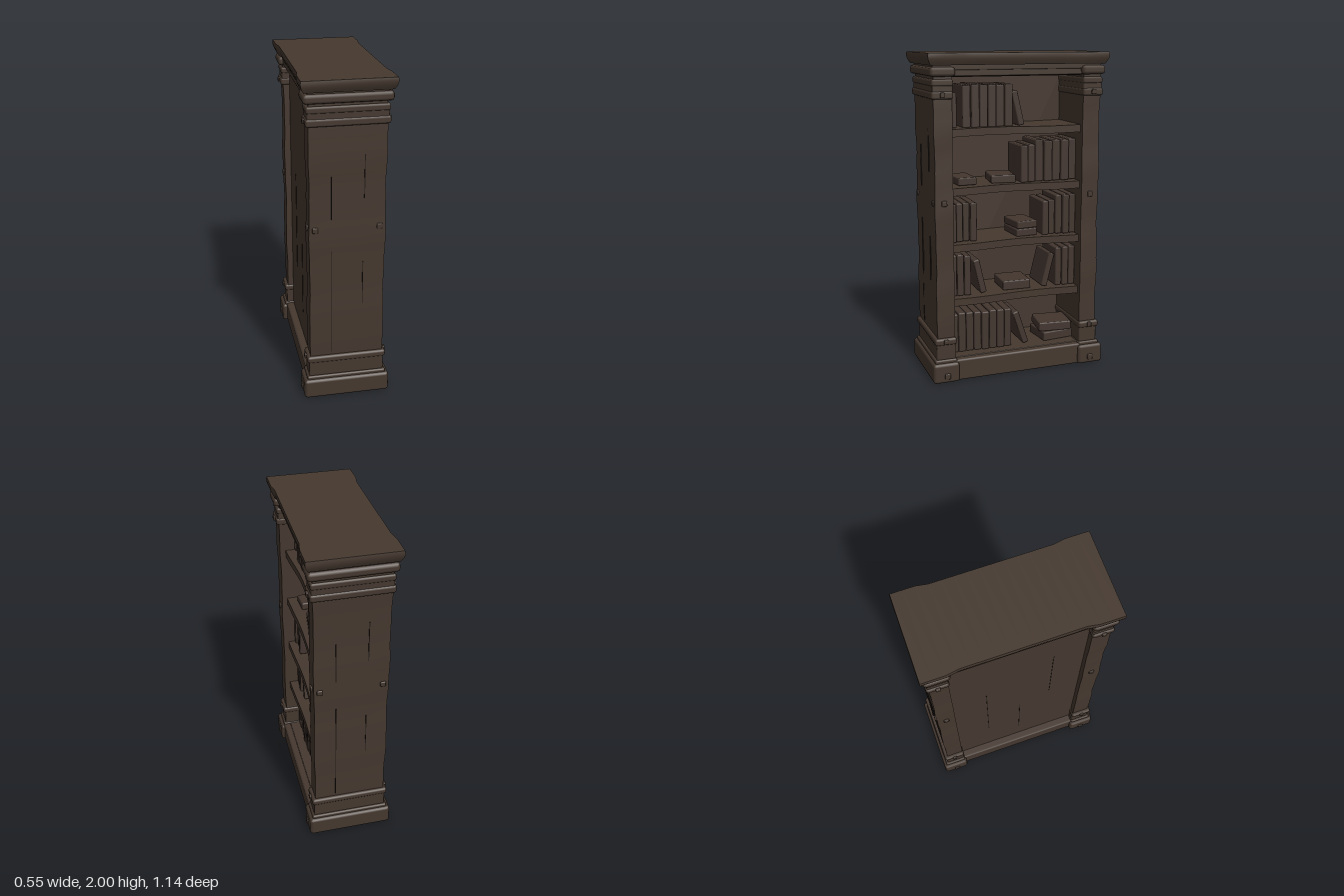
import * as THREE from 'three';
import { toCreasedNormals } from 'three/addons/utils/BufferGeometryUtils.js';
import { RoundedBoxGeometry } from 'three/addons/geometries/RoundedBoxGeometry.js';

const mat = (name, color) => Object.assign(new THREE.MeshStandardMaterial({ color }), { name });

export function createModel() {
  const model = new THREE.Group();
  model.name = 'bookcase';
  const wood = mat('dark wood', 0x45382f);
  const bookCover = mat('book cover', 0x43362f);
  const crack = mat('crack', 0x1e1814);

  let seed = 7;
  const rand = () => (seed = (seed * 16807) % 2147483647) / 2147483647;

  const add = (name, geo, material, x, y, z, parent = model) => {
    const mesh = new THREE.Mesh(geo, material);
    mesh.name = name;
    mesh.position.set(x, y, z);
    parent.add(mesh);
    return mesh;
  };

  // Block with worn edges, given by its limits
  const block = (name, x0, x1, y0, y1, z0, z1, r = 0.008, material = wood, parent = model) =>
    add(name, new RoundedBoxGeometry(x1 - x0, y1 - y0, z1 - z0, 1, r), material,
      (x0 + x1) / 2, (y0 + y1) / 2, (z0 + z1) / 2, parent);

  // Box whose vertices are moved by a rule
  const carved = (name, size, segs, pos, rule) => {
    const geo = new THREE.BoxGeometry(...size, ...segs);
    const p = geo.attributes.position;
    const v = new THREE.Vector3();
    for (let i = 0; i < p.count; i++) {
      v.fromBufferAttribute(p, i);
      rule(v);
      p.setXYZ(i, v.x, v.y, v.z);
    }
    return add(name, toCreasedNormals(geo, 0.6), wood, ...pos);
  };

  // Cornice top: flared, with a slightly narrower middle
  carved('corniceTop', [0.54, 0.07, 1.14], [1, 4, 16], [0, 1.965, 0], (v) => {
    const flare = [0.93, 0.965, 0.99, 1, 0.99][Math.round((v.y / 0.07 + 0.5) * 4)];
    v.x *= flare * (Math.abs(v.z) < 0.36 ? 0.955 : 1);
    v.z *= 0.5 + flare / 2;
  });
  block('corniceNeck', -0.23, 0.23, 1.9, 1.945, -0.535, 0.535);
  block('topRail', -0.225, 0.225, 1.865, 1.925, -0.5, 0.5);
  block('caseRoof', -0.18, 0.2, 1.86, 1.9, -0.45, 0.45);

  // Plinth with a set-back middle
  block('plinth', -0.235, 0.245, 0, 0.135, -0.5, 0.5, 0.012);

  // Back panel, shared by all shelves
  block('backPanel', -0.185, -0.15, 0.1, 1.9, -0.45, 0.45, 0.004);

  // End walls with their mouldings
  for (const s of [-1, 1]) {
    const side = s > 0 ? 'left' : 'right';
    const across = (name, hx, y0, y1, zIn, zOut, r) => {
      const a = s * zIn, b = s * zOut;
      block(side + name, -hx, hx, y0, y1, Math.min(a, b), Math.max(a, b), r);
    };
    carved(side + 'EndWall', [0.448, 1.8, 0.112], [4, 24, 2], [0, 1, s * 0.474], (v) => {
      const w = 0.0025 * Math.sin(v.y * 11 + s) + 0.0015 * Math.sin(v.y * 27);
      v.x += Math.sign(v.x) * w;
      if (v.z * s > 0.05) v.z += s * w;
    });
    across('Foot', 0.265, 0, 0.125, 0.4, 0.567, 0.018);
    across('FootCap', 0.245, 0.115, 0.145, 0.41, 0.55, 0.01);
    across('LowerBlock', 0.232, 0.14, 0.25, 0.415, 0.537, 0.008);
    across('LowerRing', 0.244, 0.237, 0.28, 0.41, 0.548, 0.014);
    across('UpperRing', 0.242, 1.735, 1.782, 0.412, 0.546, 0.014);
    across('UpperBlock', 0.232, 1.77, 1.85, 0.415, 0.538, 0.008);
    across('Capital', 0.238, 1.81, 1.85, 0.412, 0.543, 0.012);
    across('CorniceBlock', 0.256, 1.865, 1.92, 0.4, 0.555, 0.02);

    // Studs on the posts, feet and cornice
    for (const e of [-1, 1]) {
      const stud = (y, x, z, size) =>
        add('stud', new RoundedBoxGeometry(0.02, size, size, 1, 0.006), wood, e * x, y, s * z);
      stud(1.12, 0.226, 0.475, 0.034);
      stud(1.76, 0.242, 0.48, 0.03);
      stud(0.26, 0.244, 0.48, 0.03);
      stud(0.045, 0.264, 0.48, 0.036);
      add('stud', new RoundedBoxGeometry(0.034, 0.034, 0.02, 1, 0.006), wood, e * 0.19, 1.12, s * 0.53);
    }

    // Seams between the planks of the end wall
    for (const [x, y0, y1] of [[-0.092, 0.3, 0.98], [-0.094, 1.18, 1.44], [0.098, 1.3, 1.56], [0.094, 0.62, 0.9]])
      add('plankSeam', new THREE.BoxGeometry(0.004, y1 - y0, 0.006), crack, s * x, (y0 + y1) / 2, s * 0.5305);
  }

  // Seams in the back panel
  for (const [z, y0, y1] of [[-0.2, 0.5, 1.2], [0.02, 0.3, 0.8], [0.22, 0.9, 1.5]])
    add('panelSeam', new THREE.BoxGeometry(0.004, y1 - y0, 0.004), crack, -0.185, (y0 + y1) / 2, z);

  // Shelves, each with a gently worn front edge
  const shelfTops = [1.555, 1.203, 0.855, 0.51];
  shelfTops.forEach((top, i) => {
    carved('shelf', [0.35, 0.046, 0.86], [2, 1, 16], [0.015, top - 0.023, 0], (v) => {
      if (v.x > 0.1) v.x -= (i ? 0.012 : 0.026) * Math.cos(v.z * 3.6) ** 2;
      v.y += 0.003 * Math.sin(v.z * 8 + i);
    });
  });
  block('bottomShelf', -0.17, 0.2, 0.1, 0.139, -0.44, 0.44, 0.004);

  const books = new THREE.Group();
  books.name = 'books';
  model.add(books);

  // Row of upright books between two z limits
  const row = (y, z0, z1, h, n) => {
    const w = (z1 - z0) / n;
    for (let i = 0; i < n; i++) {
      const front = 0.125 + 0.025 * rand();
      block('uprightBook', -0.1, front, y, y + h - 0.012 * rand(),
        z0 + i * w + 0.001, z0 + (i + 1) * w - 0.001, 0.008, bookCover, books);
    }
  };
  // Leaning book between its foot and its top
  const lean = (y, zFoot, zTop, h) => {
    const angle = Math.atan2(zTop - zFoot, h);
    const b = add('leaningBook', new RoundedBoxGeometry(0.22, h, 0.04, 1, 0.008), bookCover,
      0.025, y + h / 2 + 0.002, (zFoot + zTop) / 2, books);
    b.rotation.x = angle;
  };
  // Pile of books lying flat
  const pile = (y, z0, z1, h, n) => {
    for (let i = 0; i < n; i++) {
      const t = h / n;
      const b = add('flatBook', new RoundedBoxGeometry(0.2, t - 0.002, (z1 - z0) * 0.92, 1, 0.008), bookCover,
        0.03, y + (i + 0.5) * t, (z0 + z1) / 2, books);
      b.rotation.y = (rand() - 0.5) * 0.3;
    }
  };

  const [a, b, c, d] = shelfTops;
  const e = 0.139;
  row(a, 0.36, 0.42, 0.22, 2);
  row(a, 0.01, 0.33, 0.262, 6);
  lean(a, -0.05, 0.0, 0.215);

  pile(b, 0.24, 0.37, 0.05, 1);
  pile(b, -0.03, 0.14, 0.052, 1);
  row(b, -0.14, -0.04, 0.24, 2);
  row(b, -0.42, -0.14, 0.265, 5);

  row(c, 0.245, 0.42, 0.245, 4);
  pile(c, -0.16, -0.005, 0.1, 2);
  row(c, -0.28, -0.19, 0.225, 2);
  row(c, -0.42, -0.28, 0.255, 3);

  row(d, 0.285, 0.42, 0.265, 3);
  lean(d, 0.2, 0.25, 0.22);
  pile(d, -0.125, 0.075, 0.062, 1);
  lean(d, -0.205, -0.26, 0.22);
  row(d, -0.42, -0.285, 0.262, 3);

  row(e, 0.015, 0.42, 0.26, 8);
  lean(e, -0.085, -0.01, 0.225);
  pile(e, -0.42, -0.185, 0.12, 2);

  return model;
}
